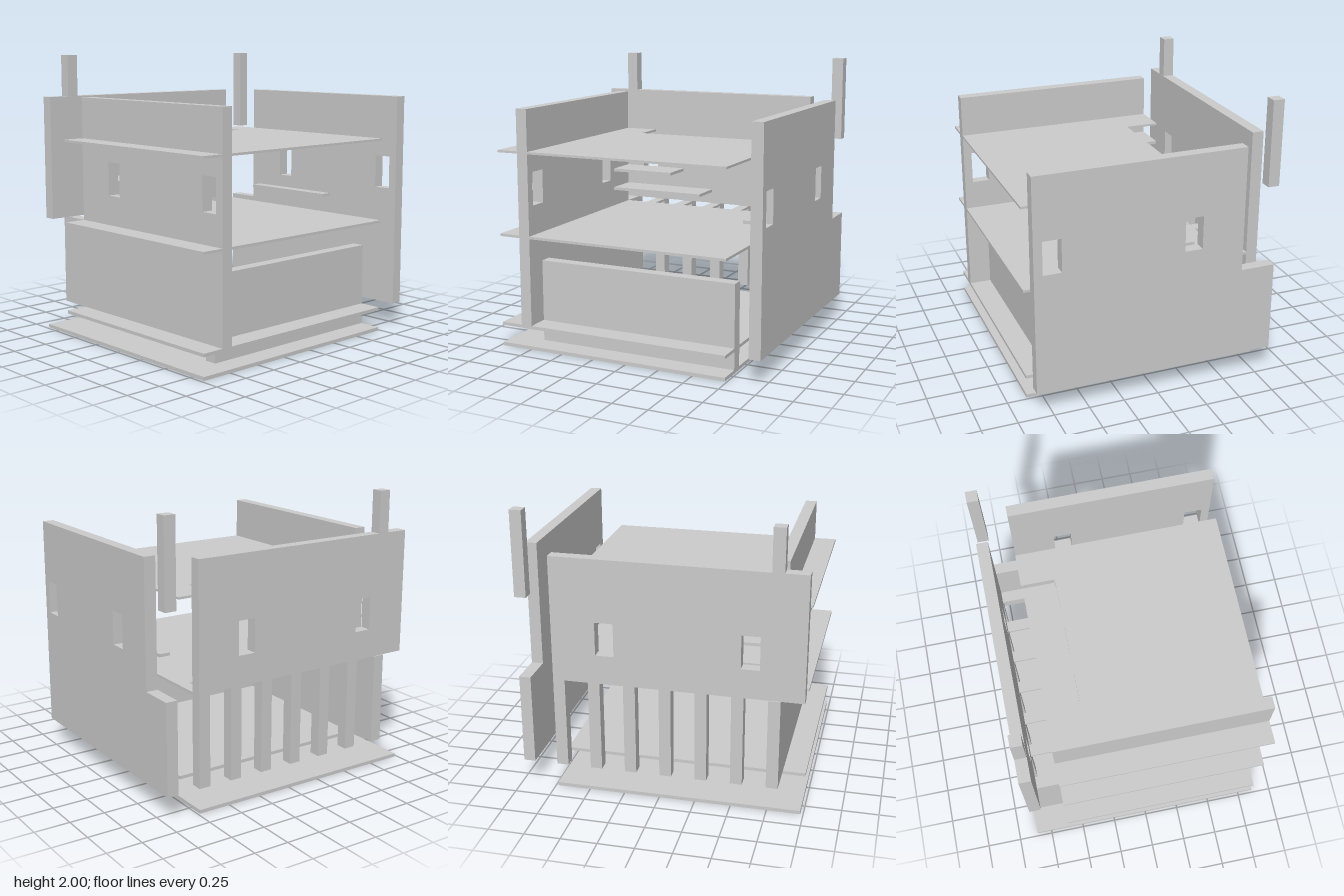
import * as THREE from 'three';

const material = new THREE.MeshStandardMaterial({ color: 0xcccccc, flatShading: true });
const T = 0.082; // wall thickness

// Closed shape from corner points, with rectangular holes [u0, u1, v0, v1]
function outline(points, holes = []) {
  const shape = new THREE.Shape(points.map(([u, v]) => new THREE.Vector2(u, v)));
  for (const [u0, u1, v0, v1] of holes) {
    shape.holes.push(new THREE.Path([[u0, v0], [u0, v1], [u1, v1], [u1, v0]]
      .map(([u, v]) => new THREE.Vector2(u, v))));
  }
  return shape;
}

const extrude = (shape, depth) =>
  new THREE.ExtrudeGeometry(shape, { depth, bevelEnabled: false });

export function createModel() {
  const group = new THREE.Group();

  function add(name, geometry) {
    const mesh = new THREE.Mesh(geometry, material);
    mesh.name = name;
    group.add(mesh);
  }

  // Box given by its limits on each axis
  function box(name, x0, x1, y0, y1, z0, z1) {
    const g = new THREE.BoxGeometry(x1 - x0, y1 - y0, z1 - z0);
    g.translate((x0 + x1) / 2, (y0 + y1) / 2, (z0 + z1) / 2);
    add(name, g);
  }

  // Horizontal plate from an x/z outline, hanging down from its top height
  function plate(name, points, top, thickness) {
    add(name, extrude(outline(points), thickness).rotateX(Math.PI / 2).translate(0, top, 0));
  }

  // Ground plate and lowest floor
  box('basePlate', -0.86, 0.86, 0, 0.025, -0.735, 0.98);
  box('lowerFloor', -0.614, 0.86, 0.152, 0.175, -0.735, 0.98);

  // Front and back walls: stepped outline with two windows, and a loose corner post
  const stepped = outline(
    [[-0.86, 0.175], [0.86, 0.175], [0.86, 1.705], [-0.614, 1.705], [-0.614, 0.82], [-0.86, 0.82]],
    [[-0.312, -0.185, 1.03, 1.265], [0.672, 0.8, 1.03, 1.265]]);
  for (const [side, z] of [['front', 0.74], ['back', -0.98]]) {
    add(side + 'Wall', extrude(stepped, T).translate(0, 0, z));
    box(side + 'CornerPost', -0.86, -0.78, 1.4, 2, z, z + T);
  }

  // Side wall with two windows, carried on a row of columns
  const side = outline(
    [[-0.735, 0.824], [0.98, 0.824], [0.98, 1.705], [-0.735, 1.705]],
    [[0.555, 0.68, 1.03, 1.265], [-0.43, -0.303, 1.03, 1.265]]);
  add('sideWall', extrude(side, T).rotateY(-Math.PI / 2).translate(-0.778, 0, 0));
  const columns = Array.from({ length: 6 }, (_, i) => -0.735 + i * 0.246);
  for (const z of columns) box('column', -0.86, -0.778, 0.175, 0.824, z, z + T);

  // Middle floor with a tooth reaching out to every column
  const comb = [[0.86, 0.98], [0.86, -0.735]];
  for (const z of columns) {
    comb.push([-0.614, z], [-0.778, z], [-0.778, z + T], [-0.614, z + T]);
  }
  comb.push([-0.614, 0.98]);
  plate('middleFloor', comb, 0.82, 0.018);

  // Upper floor with a stair opening
  plate('upperFloor', [
    [-0.614, 0.98], [0.86, 0.98], [0.86, -0.735], [-0.614, -0.735],
    [-0.614, -0.495], [-0.37, -0.495], [-0.37, 0.49], [-0.614, 0.49],
  ], 1.412, 0.016);

  // Low inner wall
  box('innerWall', 0.614, 0.7, 0.025, 0.615, -0.735, 0.74);

  // Stair treads, each shorter than the one below, and a narrow shelf at the back
  for (let i = 0; i < 3; i++) {
    const y = 0.945 + i * 0.149;
    box('stairTread', -0.614, -0.37, y, y + 0.022, i * 0.246, 0.74);
  }
  box('backShelf', -0.37, 0.37, 0.945, 0.967, -0.735, -0.653);

  return group;
}
